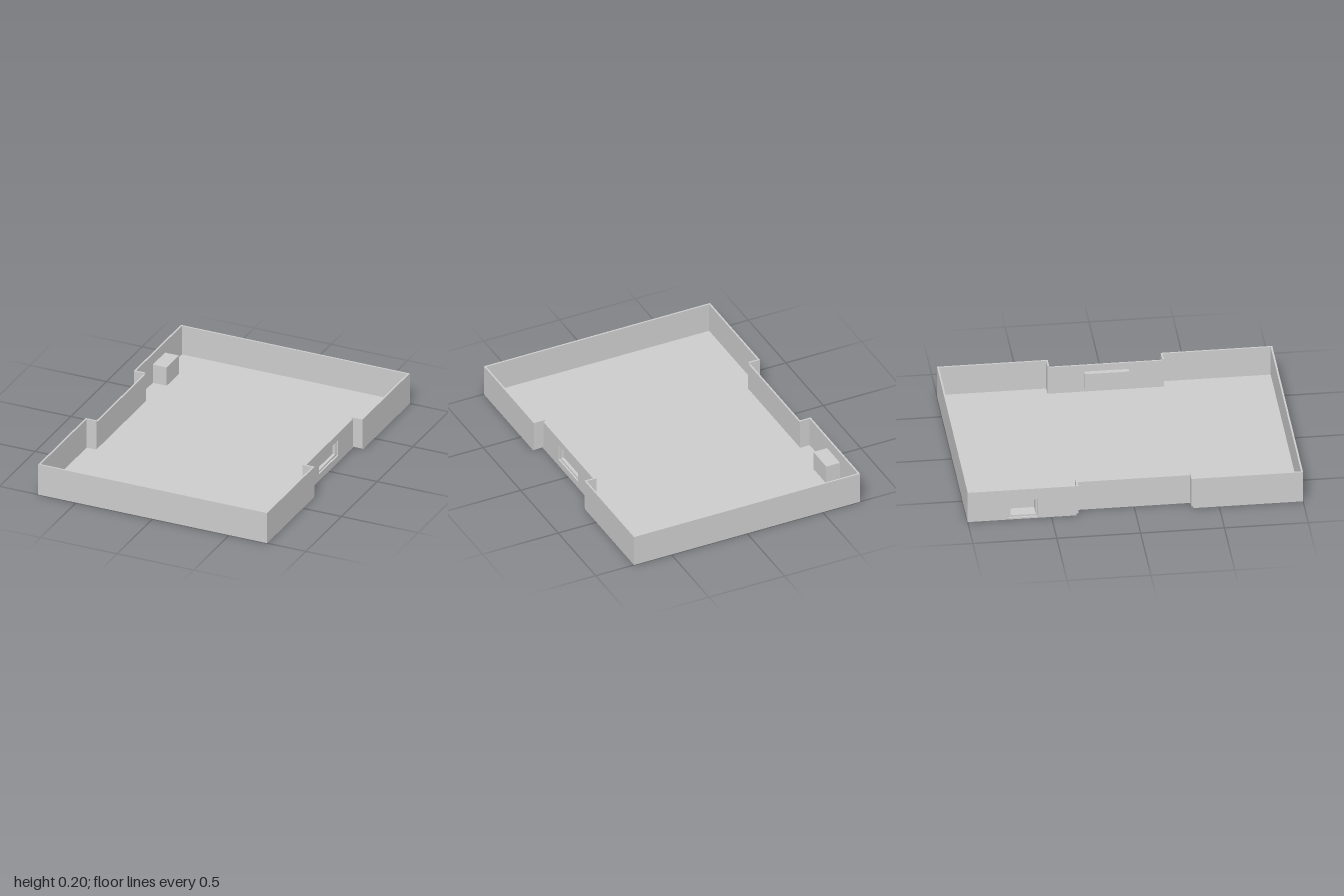
import * as THREE from 'three';

const T = 0.011;                      // wall thickness
const W = 0.747, WAIST = 0.684;       // half widths at the ends and at the waist
const Z0 = -0.35, Z1 = 0.345;         // waist limits along z
const H = 0.2, LOW = 0.19;            // end wall and waist wall heights

export function createModel() {
  const group = new THREE.Group();
  const material = new THREE.MeshStandardMaterial({ color: 0xcccccc });

  function add(name, geometry) {
    const mesh = new THREE.Mesh(geometry, material);
    mesh.name = name;
    group.add(mesh);
  }

  // Box given by its limits
  function block(name, x0, x1, y0, y1, z0, z1) {
    const g = new THREE.BoxGeometry(x1 - x0, y1 - y0, z1 - z0);
    g.translate((x0 + x1) / 2, (y0 + y1) / 2, (z0 + z1) / 2);
    add(name, g);
  }

  const corners = ([z0, z1, y0, y1]) => [[z0, y0], [z1, y0], [z1, y1], [z0, y1]].map(p => new THREE.Vector2(...p));

  // Upright panel in the zy plane with a rectangular hole
  function panel(name, x0, x1, rect, hole) {
    const shape = new THREE.Shape(corners(rect));
    shape.holes.push(new THREE.Path(corners(hole)));
    const g = new THREE.ExtrudeGeometry(shape, { depth: x1 - x0, bevelEnabled: false });
    g.rotateY(-Math.PI / 2);
    g.translate(x1, 0, 0);
    add(name, g);
  }

  // Hollow pocket behind a wall opening: rim sleeve closed by a back plate
  function pocket(name, wallX, backX, rect) {
    const [z0, z1, y0, y1] = rect;
    const plateX = backX + Math.sign(wallX - backX) * T;
    panel(name + 'Sleeve', Math.min(wallX, plateX), Math.max(wallX, plateX), rect,
      [z0 + T, z1 - T, y0 + T, y1 - T]);
    block(name + 'Back', Math.min(backX, plateX), Math.max(backX, plateX), y0, y1, z0, z1);
  }

  // Floor plate with a notch on each side
  const outline = [[W, 1], [W, Z1], [WAIST, Z1], [WAIST, Z0], [W, Z0], [W, -1]];
  const mirrored = outline.map(([x, z]) => [-x, z]).reverse();
  const floor = new THREE.Shape([...outline, ...mirrored].map(([x, z]) => new THREE.Vector2(x, -z)));
  const floorGeometry = new THREE.ExtrudeGeometry(floor, { depth: T, bevelEnabled: false });
  floorGeometry.rotateX(-Math.PI / 2);
  add('floor', floorGeometry);

  // End walls
  block('frontWall', -W, W, T, H, 1 - T, 1);
  block('backWall', -W, W, T, H, -1, -1 + T);

  const window = [-0.13, 0.135, 0.044, 0.147];
  const port = [-0.754, -0.582, T, 0.132];

  for (const s of [-1, 1]) {
    const side = s > 0 ? 'left' : 'right';
    const span = (a, b) => (s > 0 ? [a, b] : [-b, -a]);
    const outer = span(W - T, W), waist = span(WAIST - T, WAIST), step = span(WAIST - T, W - T);

    // Long side walls and the short steps into the waist
    block(side + 'FrontSideWall', ...outer, T, H, Z1 - T, 1 - T);
    block(side + 'FrontStep', ...step, T, H, Z1 - T, Z1);
    block(side + 'BackStep', ...step, T, H, Z0, Z0 + T);

    const backRect = [-1 + T, Z0 + T, T, H];
    const waistRect = [Z0 + T, Z1 - T, T, LOW];
    if (s > 0) {
      block('leftBackSideWall', ...outer, T, H, backRect[0], backRect[1]);
      panel('leftWaistWall', ...waist, waistRect, window);
    } else {
      // The port opening reaches the floor, so the wall is built around it
      block('rightBackSideWall', ...outer, T, H, backRect[0], port[0]);
      block('rightBackSideWall', ...outer, T, H, port[1], backRect[1]);
      block('portLintel', ...outer, port[3], H, port[0], port[1]);
      block('rightWaistWall', ...waist, T, LOW, waistRect[0], waistRect[1]);
    }
  }

  // Pockets inside the tray
  pocket('windowPocket', WAIST - T, 0.642, window);
  pocket('portPocket', -W + T, -0.645, port);

  return group;
}
